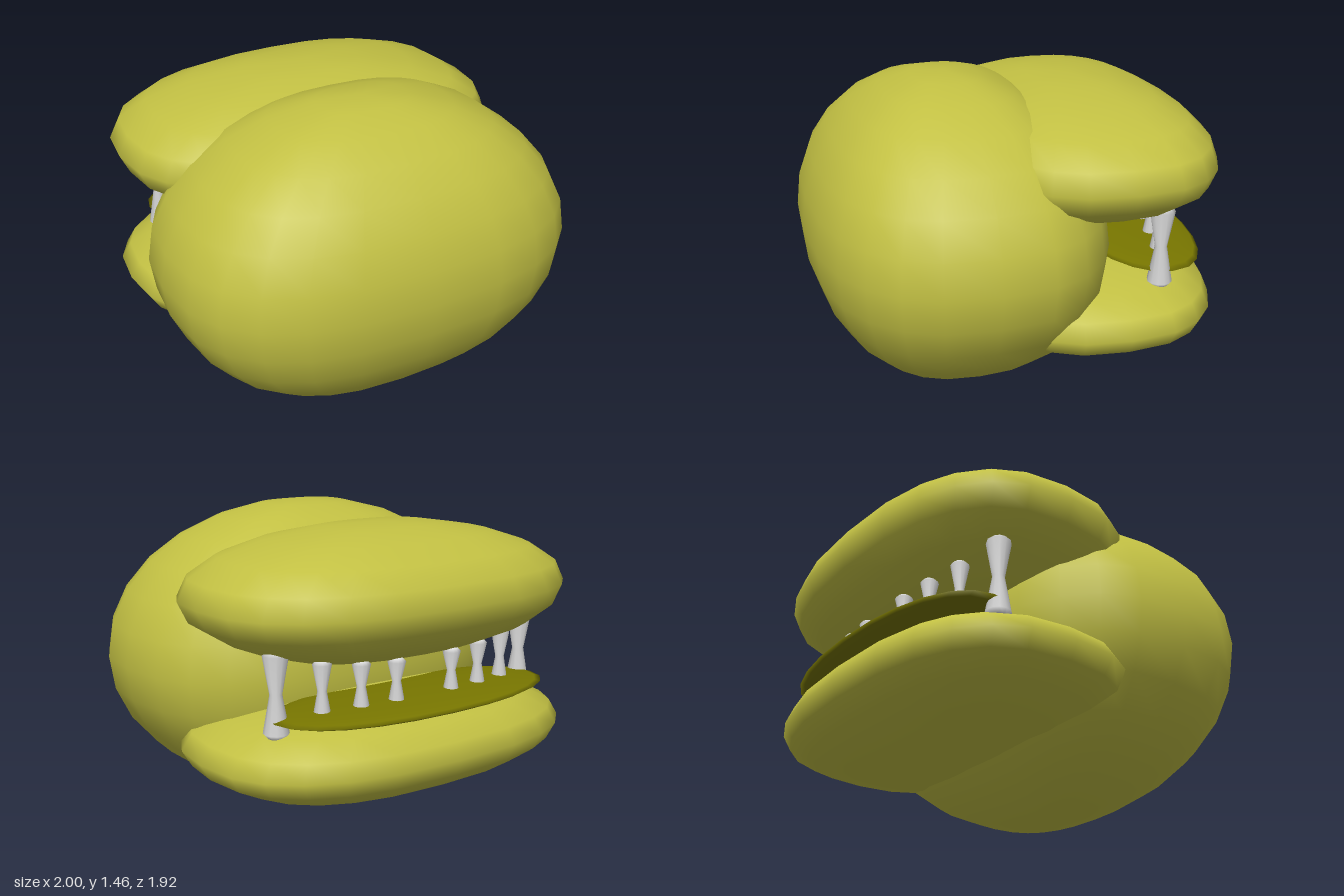
import * as THREE from 'three';
import { mergeVertices } from 'three/addons/utils/BufferGeometryUtils.js';

function material(name, color) {
  const m = new THREE.MeshStandardMaterial({ color });
  m.name = name;
  return m;
}

// Ellipsoid whose horizontal rings are rounded rectangles (squareness < 1)
function cushion(name, mat, radii, position, rows, squareness) {
  let geo = new THREE.SphereGeometry(1, 24, rows);
  geo.deleteAttribute('uv');
  geo.deleteAttribute('normal');
  const p = geo.attributes.position;
  const bulge = (v) => Math.sign(v) * Math.pow(Math.abs(v), squareness);
  for (let i = 0; i < p.count; i++) {
    const x = p.getX(i), y = p.getY(i), z = p.getZ(i);
    const r = Math.hypot(x, z);
    if (r > 1e-6) p.setXYZ(i, r * bulge(x / r), y, r * bulge(z / r));
  }
  geo.scale(...radii);
  geo = mergeVertices(geo, 1e-5);
  geo.computeVertexNormals();
  const mesh = new THREE.Mesh(geo, mat);
  mesh.name = name;
  mesh.position.set(...position);
  return mesh;
}

// Hourglass tooth pair: wide rounded ends, narrow waist where the tips meet
function tooth(name, mat, x, z, bottom, top, radius) {
  const waist = 0.75, cap = radius * 0.5;
  const profile = [
    [0, bottom], [radius * 0.65, bottom + cap * 0.25], [radius, bottom + cap],
    [radius * 0.48, waist],
    [radius, top - cap], [radius * 0.65, top - cap * 0.25], [0, top],
  ].map(([r, y]) => new THREE.Vector2(r, y));
  const mesh = new THREE.Mesh(new THREE.LatheGeometry(profile, 12), mat);
  mesh.name = name;
  mesh.position.set(x, 0, z);
  return mesh;
}

export function createModel() {
  const skin = material('olive skin', 0xc2c043);
  const gum = material('dark olive gum', 0x787600);
  const ivory = material('tooth grey', 0xdadada);

  const model = new THREE.Group();
  model.name = 'headWithMouth';

  // Head and lips
  model.add(cushion('head', skin, [1, 0.73, 0.7], [0, 0.73, 0.26], 14, 0.77));
  model.add(cushion('upperLip', skin, [0.96, 0.31, 0.61], [0, 1.1, -0.35], 10, 0.77));
  model.add(cushion('lowerLip', skin, [0.96, 0.25, 0.61], [0, 0.42, -0.35], 10, 0.77));

  // Flat gum resting on the lower lip
  model.add(cushion('gum', gum, [0.75, 0.035, 0.3], [0, 0.635, -0.62], 10, 0.9));

  // Teeth along a shallow arc: x, z, bottom, top, radius
  const teeth = new THREE.Group();
  teeth.name = 'teeth';
  const row = [
    [0.16, -0.7, 0.61, 0.86, 0.042],
    [0.34, -0.68, 0.61, 0.87, 0.042],
    [0.52, -0.64, 0.6, 0.89, 0.043],
    [0.71, -0.57, 0.55, 0.95, 0.058],
  ];
  for (const side of [1, -1]) {
    row.forEach(([x, z, bottom, top, radius], i) => {
      const name = (side > 0 ? 'leftTooth' : 'rightTooth') + (i + 1);
      teeth.add(tooth(name, ivory, side * x, z, bottom, top, radius));
    });
  }
  model.add(teeth);
  return model;
}
